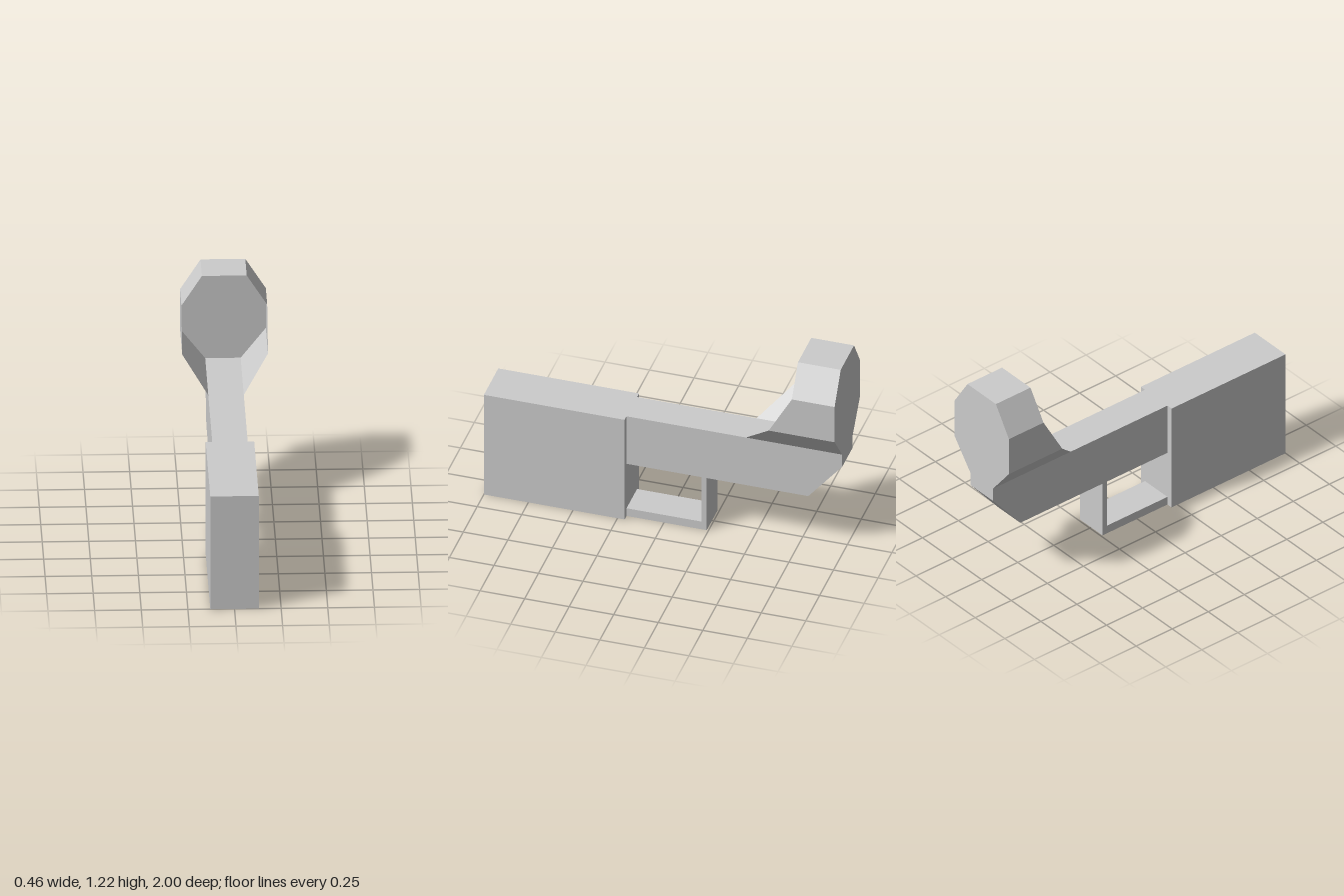
import * as THREE from 'three';

const grey = new THREE.MeshStandardMaterial({ color: 0xcccccc, flatShading: true });
const greyThin = new THREE.MeshStandardMaterial({ color: 0xcccccc, flatShading: true, side: THREE.DoubleSide });

const toShape = (points) => new THREE.Shape(points.map(([a, b]) => new THREE.Vector2(a, b)));

function addMesh(group, name, geometry, material = grey) {
  const mesh = new THREE.Mesh(geometry, material);
  mesh.name = name;
  group.add(mesh);
  return mesh;
}

// Extrude a [z, y] side profile across x, centred on x = 0.
function sideProfile(points, width) {
  const geometry = new THREE.ExtrudeGeometry(toShape(points), { depth: width, bevelEnabled: false });
  return geometry.translate(0, 0, -width / 2).rotateY(-Math.PI / 2);
}

const rectangle = (hw, z0, z1) => [[-hw, -z1], [hw, -z1], [hw, -z0], [-hw, -z0]];

export function createModel() {
  const group = new THREE.Group();
  const top = 0.65, lid = 0.025;

  // Front housing: a hollow box, open underneath
  const walls = toShape(rectangle(0.13, 0.21, 1));
  walls.holes.push(toShape(rectangle(0.105, 0.24, 0.97).reverse()));
  const wallGeometry = new THREE.ExtrudeGeometry(walls, { depth: top - lid, bevelEnabled: false });
  addMesh(group, 'housingWalls', wallGeometry.rotateX(-Math.PI / 2));
  addMesh(group, 'housingTop', new THREE.BoxGeometry(0.26, lid, 0.79))
    .position.set(0, top - lid / 2, 0.605);

  // Long arm with a chamfered rear end
  addMesh(group, 'arm', sideProfile(
    [[0.21, top], [-1, top], [-1, 0.57], [-0.81, 0.34], [0.21, 0.34]], 0.19));

  // L-shaped guard below the arm
  addMesh(group, 'guard', sideProfile(
    [[0.21, 0.05], [-0.21, 0.05], [-0.21, 0.34], [-0.24, 0.34], [-0.24, 0], [0.21, 0]], 0.19));

  // Rear scoop: half outline as [x, y, z of the front lip], mirrored to the other side
  const half = [[0.095, top, -0.46], [0.23, 0.82, -0.63], [0.23, 1.05, -0.76], [0.12, 1.22, -0.76]];
  const rim = [...half, ...half.map(([x, y, z]) => [-x, y, z]).reverse()];
  const positions = [];
  for (let i = 0; i < rim.length - 1; i++) {
    const [x0, y0, z0] = rim[i], [x1, y1, z1] = rim[i + 1];
    const a = [x0, y0, z0], b = [x0, y0, -1], c = [x1, y1, -1], d = [x1, y1, z1];
    positions.push(...a, ...b, ...c, ...a, ...c, ...d);
  }
  const panels = new THREE.BufferGeometry();
  panels.setAttribute('position', new THREE.Float32BufferAttribute(positions, 3));
  panels.computeVertexNormals();
  addMesh(group, 'scoopSides', panels, greyThin);
  addMesh(group, 'scoopBack', new THREE.ShapeGeometry(toShape(rim)).translate(0, 0, -1), greyThin);

  return group;
}
